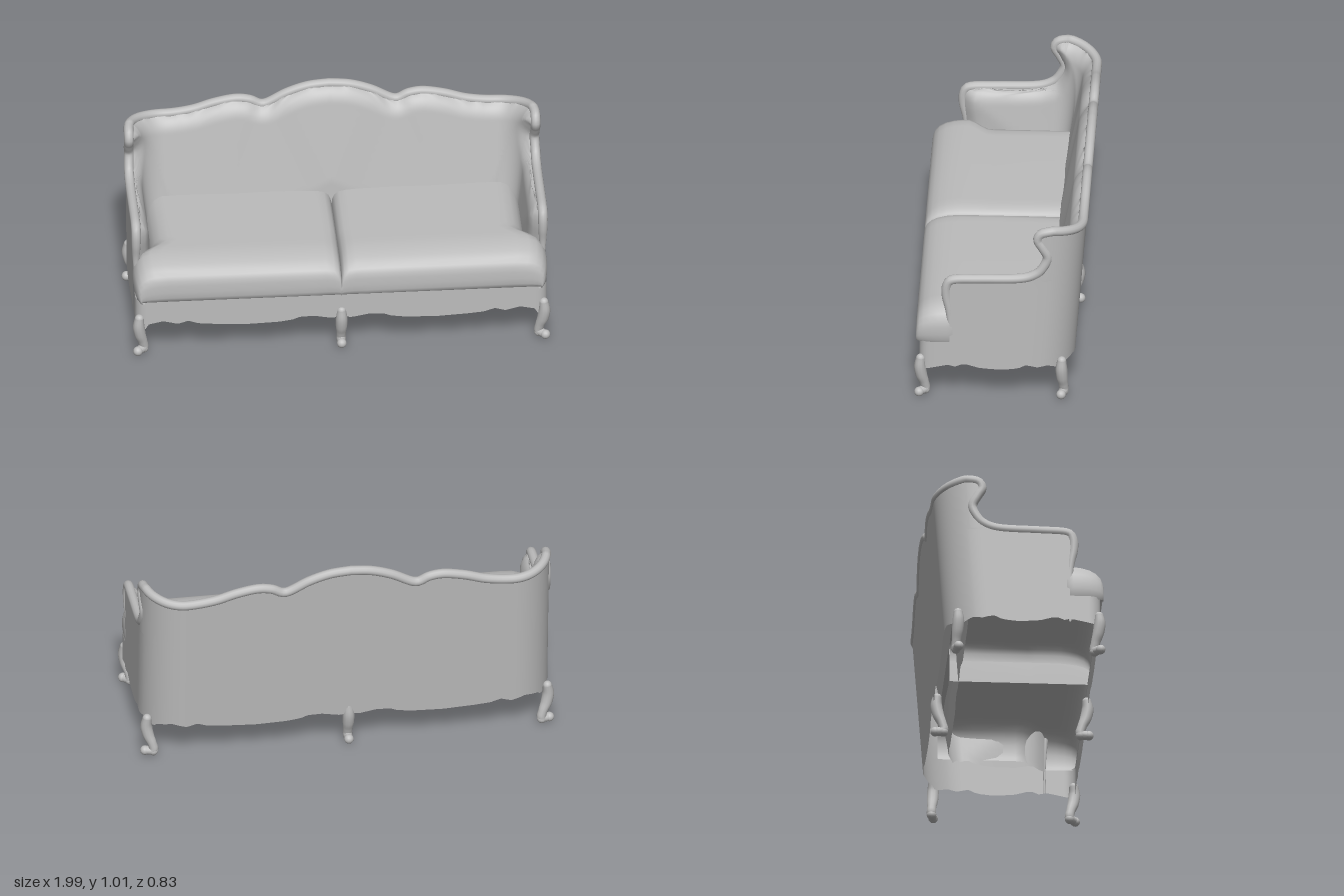
import * as THREE from 'three';

const W = 0.983, R = 0.2, S1 = 0.145, S2 = S1 + R * Math.PI / 2, S3 = S2 + W - R; // plan path lengths
const APEX = 0.2, TOP = 0.897, BASE = 0.17;
const { lerp, smoothstep } = THREE.MathUtils;

function interp(table, x) {
  if (x <= table[0][0]) return table[0][1];
  for (let i = 1; i < table.length; i++) {
    const [a, ya] = table[i - 1], [b, yb] = table[i];
    if (x <= b) return lerp(ya, yb, (x - a) / (b - a || 1));
  }
  return table[table.length - 1][1];
}

// Half plan of the shell: arm side, rounded corner, leaning back
function plan(s, y, inset) {
  let x, z;
  if (s < S1) { x = W - inset; z = -s; }
  else if (s < S2) {
    const a = (s - S1) / R;
    x = W - R + (R - inset) * Math.cos(a);
    z = -S1 - (R - inset) * Math.sin(a);
  } else { x = S3 - s; z = -S1 - R + inset; }
  return new THREE.Vector3(x, y, z - (y - BASE) * 0.075 * smoothstep(s, -0.1, S1));
}

// Rail outline in (path length, height): arm front, arm, wing, then crest
const spline = (pts, n) => new THREE.SplineCurve(pts.map(p => new THREE.Vector2(...p))).getPoints(n).map(p => [p.x, p.y]);
const armRail = spline([[-0.245, BASE], [-0.243, 0.3], [-0.246, 0.45], [-0.26, 0.54], [-0.256, 0.6], [-0.225, 0.63],
  [-0.1, 0.636], [0.06, 0.642], [0.13, 0.668], [0.165, 0.71], [0.18, 0.76], [0.15, 0.81], [0.125, 0.85], [0.14, 0.885], [APEX, TOP]], 70);
const crestRail = spline([[APEX, TOP], [0.27, 0.885], [0.38, 0.868], [0.48, 0.865], [S3 - 0.65, 0.88], [S3 - 0.55, 0.91], [S3 - 0.45, 0.928],
  [S3 - 0.38, 0.92], [S3 - 0.31, 0.895], [S3 - 0.2, 0.948], [S3 - 0.1, 0.98], [S3, 0.99]], 60);
const halfRail = [...armRail, ...crestRail.slice(1)];

// Scalloped lower edges
const frontEdge = [[0, 0.17], [0.05, 0.165], [0.13, 0.18], [0.2, 0.178], [0.23, 0.165], [0.3, 0.155], [0.45, 0.15], [0.6, 0.158],
  [0.68, 0.165], [0.73, 0.182], [0.78, 0.167], [0.85, 0.185], [0.92, 0.17], [1, 0.155]];
const sideEdge = [[-0.39, 0.145], [-0.3, 0.165], [-0.25, 0.175], [-0.21, 0.166], [-0.18, 0.185], [-0.1, 0.162], [0, 0.155],
  [0.08, 0.163], [0.12, 0.184], [0.17, 0.17], [0.22, 0.177], [0.28, 0.155]];
const bottom = s => s < 0.3 ? interp(sideEdge, s) : interp(frontEdge, S3 - s);

function gridGeometry(nu, nv, fn) {
  const pos = [], idx = [];
  for (let j = 0; j <= nv; j++) for (let i = 0; i <= nu; i++) pos.push(...fn(i, j).toArray());
  for (let j = 0; j < nv; j++) for (let i = 0; i < nu; i++) {
    const a = j * (nu + 1) + i, b = a + 1, c = a + nu + 1, d = c + 1;
    idx.push(a, b, d, a, d, c);
  }
  const g = new THREE.BufferGeometry();
  g.setAttribute('position', new THREE.Float32BufferAttribute(pos, 3));
  g.setIndex(idx);
  g.computeVertexNormals();
  return g;
}

// Half of the shell; rows start at the rail and run round to the back centre
function shellGeometry(rows, insetAt) {
  const n1 = 16, n2 = 64;
  return gridGeometry(n1 + n2, rows.length - 1, (i, j) => {
    const [s0, y0] = rows[j], t = (y0 - BASE) / (TOP - BASE);
    const s = i <= n1 ? lerp(s0, APEX, i / n1) : lerp(APEX, S3, (i - n1) / n2);
    const top = i <= n1 ? TOP : interp(crestRail, s);
    const y = BASE + t * (top - BASE) + (bottom(s) - BASE) * (1 - t);
    return plan(s, y, insetAt(s, y));
  });
}

// Padding swells quickly away from the rail, then deepens toward the seat
function padding(s, y) {
  const d = Math.min(...halfRail.map(p => Math.hypot(p[0] - s, p[1] - y)));
  const k = 1 - Math.min(d / 0.075, 1);
  return 0.012 + 0.055 * Math.sqrt(1 - k * k) + 0.06 * Math.min(d / 0.46, 1);
}

// Tube whose radius follows a function of 0..1
function taperedTube(points, radiusAt, n, sides) {
  const curve = new THREE.CatmullRomCurve3(points);
  const g = new THREE.TubeGeometry(curve, n, 1, sides);
  const p = g.attributes.position, v = new THREE.Vector3();
  for (let i = 0; i < p.count; i++) {
    const t = Math.floor(i / (sides + 1)) / n, c = curve.getPointAt(t);
    v.fromBufferAttribute(p, i).sub(c).multiplyScalar(radiusAt(t)).add(c);
    p.setXYZ(i, v.x, v.y, v.z);
  }
  return g;
}

// Hollow cushion from cross-sections [z, top height, corner inset], wider in front of the arm
function cushionGeometry() {
  const slices = [[-0.27, 0.484, 0], [-0.1, 0.486, 0], [0.1, 0.486, 0], [0.14, 0.486, 0], [0.17, 0.486, 0], [0.2, 0.486, 0], [0.23, 0.486, 0],
    [0.26, 0.484, 0], [0.3, 0.479, 0], [0.34, 0.468, 0.003], [0.37, 0.452, 0.008], [0.39, 0.432, 0.014], [0.4, 0.41, 0.02],
    [0.404, 0.385, 0.026], [0.405, 0.35, 0.03], [0.404, 0.32, 0.032], [0.398, 0.302, 0.034], [0.387, 0.29, 0.036]];
  // [distance from the outer edge, height fraction], then [x, fraction] at the centre seam
  const outerSide = [[0.012, 0], [0.004, 0.1], [0, 0.25], [0, 0.45], [0.006, 0.62], [0.022, 0.78], [0.048, 0.91], [0.085, 0.98], [0.14, 1]];
  const seamSide = [[0.5, 1], [0.12, 1], [0.07, 0.99], [0.035, 0.95], [0.014, 0.87], [0.003, 0.74], [0, 0.55], [0, 0]];
  const count = outerSide.length + seamSide.length;
  return gridGeometry(count - 1, slices.length - 1, (i, j) => {
    const [z, top, corner] = slices[j], edge = 0.89 + 0.095 * smoothstep(z, 0.12, 0.24) - corner;
    const [a, f] = i < outerSide.length ? outerSide[i] : seamSide[i - outerSide.length];
    return new THREE.Vector3(i < outerSide.length ? edge - a : a, lerp(0.29, top, f), z);
  });
}

export function createModel() {
  const sofa = new THREE.Group();
  sofa.name = 'sofa';
  const grey = new THREE.MeshStandardMaterial({ color: 0xbcbcbc, side: THREE.DoubleSide });
  grey.name = 'grey upholstery';
  const add = (geometry, name, parent = sofa) => {
    const m = new THREE.Mesh(geometry, grey);
    m.name = name;
    parent.add(m);
    return m;
  };

  const cushion = cushionGeometry();
  const outer = shellGeometry(armRail, () => 0);
  const inner = shellGeometry(armRail.filter(p => p[1] > 0.26), padding);

  // Front apron with rounded corner returning to the arm
  const apron = gridGeometry(70, 4, (i, j) => {
    const s = i / 70 * 1.09, r = 0.05, x0 = 0.98 - r;
    let x = s, z = 0.39;
    if (s > x0) {
      const a = Math.min((s - x0) / r, Math.PI / 2);
      x = x0 + r * Math.sin(a);
      z = 0.39 - r + r * Math.cos(a) - Math.max(0, s - x0 - r * Math.PI / 2) * 1.25;
    }
    const low = s < x0 ? interp(frontEdge, x) : interp(sideEdge, -z);
    return new THREE.Vector3(x, lerp(low, 0.297, j / 4), z);
  });

  for (const side of [1, -1]) {
    const half = new THREE.Group();
    half.name = side > 0 ? 'leftHalf' : 'rightHalf';
    half.scale.x = side;
    sofa.add(half);
    add(outer, 'outerShell', half);
    add(inner, 'paddedInside', half);
    add(apron, 'frontApron', half);
    add(cushion, 'seatCushion', half);
  }

  // Continuous rolled rail over arms, wings and crest
  const right = halfRail.map(([s, y]) => plan(s, y, 0.014));
  const left = right.slice(0, -1).reverse().map(p => new THREE.Vector3(-p.x, p.y, p.z));
  add(taperedTube([...right, ...left], t => lerp(0.006, 0.023, smoothstep(Math.min(t, 1 - t), 0.02, 0.095)), 300, 12), 'rolledRail');

  // Curved legs with scroll toes, built facing local +z
  const legPath = [[0.203, -0.002], [0.16, 0.002], [0.11, -0.008], [0.065, -0.026], [0.03, -0.032], [0.023, 0.006]]
    .map(([y, z]) => new THREE.Vector3(0, y, z));
  const legRadius = [[0, 0.022], [0.2, 0.029], [0.4, 0.028], [0.65, 0.022], [0.8, 0.023], [1, 0.02]];
  const legTube = taperedTube(legPath, t => interp(legRadius, t), 24, 12);
  const toe = new THREE.SphereGeometry(0.023, 14, 10), knob = new THREE.SphereGeometry(0.022, 14, 8);
  const legs = [[0, 0.386, 0], [0, -0.33, Math.PI]];
  for (const k of [1, -1]) legs.push([k * 0.965, 0.384, k * 0.8], [k * 0.965, -0.288, k * 1.3]);
  for (const [x, z, angle] of legs) {
    const leg = new THREE.Group();
    leg.name = z > 0 ? 'frontLeg' : 'backLeg';
    leg.position.set(x, 0, z);
    leg.rotation.y = angle;
    sofa.add(leg);
    add(legTube, 'legShaft', leg);
    add(toe, 'legToe', leg).position.set(0, 0.023, 0.008);
    add(toe, 'legHeel', leg).position.set(0, 0.023, -0.032);
    add(knob, 'legTop', leg).position.set(0, 0.2, -0.002);
  }
  return sofa;
}
